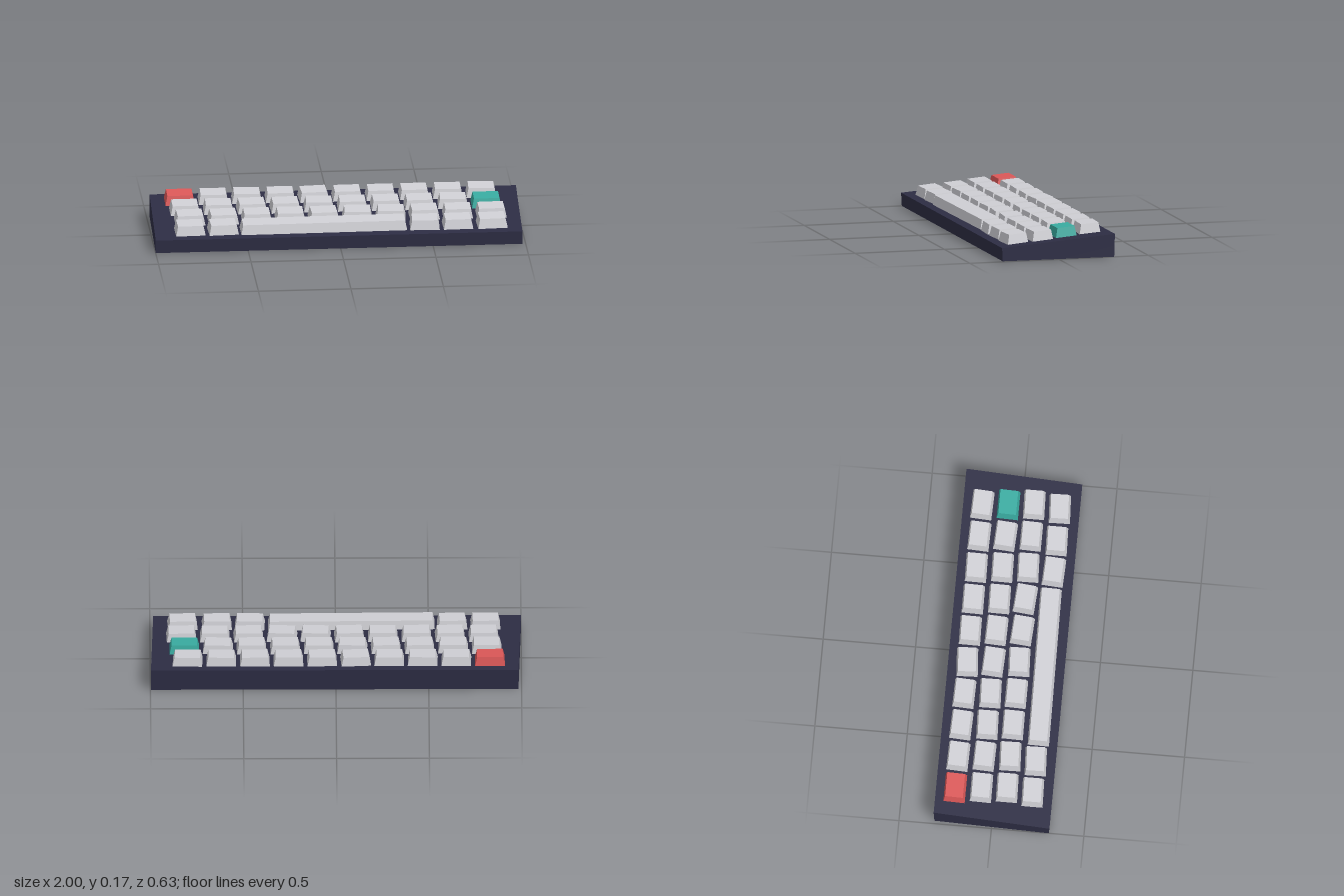
import * as THREE from 'three';

const material = (name, color) => {
  const m = new THREE.MeshStandardMaterial({ color });
  m.name = name;
  return m;
};

// Box whose vertices are moved by a rule; the faces stay flat
function shapedBox(rule) {
  const g = new THREE.BoxGeometry(2, 2, 2);
  const p = g.attributes.position;
  for (let i = 0; i < p.count; i++) p.setXYZ(i, ...rule(p.getX(i), p.getY(i), p.getZ(i)));
  g.computeVertexNormals();
  return g;
}

const SLOPE = 0.0844;
const deckY = (z) => 0.0985 - SLOPE * z;

// Tapered cap, sunk slightly into the deck
function keyGeometry(width) {
  const depth = 0.118, height = 0.051, sink = 0.006;
  return shapedBox((x, y, z) => (y > 0
    ? [x * (width / 2 - 0.012), height, z * (depth / 2 - 0.011) - 0.006]
    : [x * width / 2, -sink, z * depth / 2]));
}

export function createModel() {
  const model = new THREE.Group();
  model.name = 'keyboard';
  const navy = material('navy case', 0x2d2d44);
  const grey = material('light grey keys', 0xd0d0d5);
  const red = material('red key', 0xdc5858);
  const teal = material('teal key', 0x39aca1);

  // Wedge case, slightly skewed in plan
  const caseMesh = new THREE.Mesh(shapedBox((x, y, z) => {
    const px = x > 0 ? (z > 0 ? 0.982 : 0.997) : (z > 0 ? -1 : -0.983);
    const pz = z * (y > 0 ? 0.314 : 0.31);
    return [px, y > 0 ? deckY(pz) : 0, pz];
  }), navy);
  caseMesh.name = 'case';
  model.add(caseMesh);

  const capGeometry = keyGeometry(0.162);
  const spaceGeometry = keyGeometry(0.9);
  function addKey(name, geometry, mat, x, z, yaw) {
    const mount = new THREE.Group();
    mount.name = name;
    mount.position.set(x, deckY(z), z);
    mount.rotation.x = SLOPE;
    const cap = new THREE.Mesh(geometry, mat);
    cap.name = name + 'Cap';
    cap.rotation.y = yaw;
    mount.add(cap);
    model.add(mount);
  }

  // Three staggered rows of ten, each key turned a little
  const rows = [
    { x: -0.83, z: -0.21, yaw: [0, -0.02, -0.03, -0.02, 0.07, 0.02, 0.01, 0.02, -0.02, -0.03] },
    { x: -0.813, z: -0.07, yaw: [0.01, -0.02, 0.04, 0.04, -0.04, -0.02, 0.02, 0.02, -0.05, 0] },
    { x: -0.797, z: 0.068, yaw: [0.03, 0.05, 0.01, 0, 0.05, -0.06, -0.07, 0.04, 0, 0.03] },
  ];
  rows.forEach((row, r) => row.yaw.forEach((yaw, i) => {
    const mat = r === 0 && i === 0 ? red : r === 1 && i === 9 ? teal : grey;
    addKey(`row${r + 1}Key${i + 1}`, capGeometry, mat, row.x + i * 0.181, row.z, yaw);
  }));

  // Bottom row with the space bar
  const bottom = [[-0.807, 0.03], [-0.628, 0.05], [0.462, -0.04], [0.64, 0.03], [0.825, 0.05]];
  bottom.forEach(([x, yaw], i) => addKey(`row4Key${i + 1}`, capGeometry, grey, x, 0.207, yaw));
  addKey('spaceBar', spaceGeometry, grey, -0.085, 0.207, 0.012);

  return model;
}
